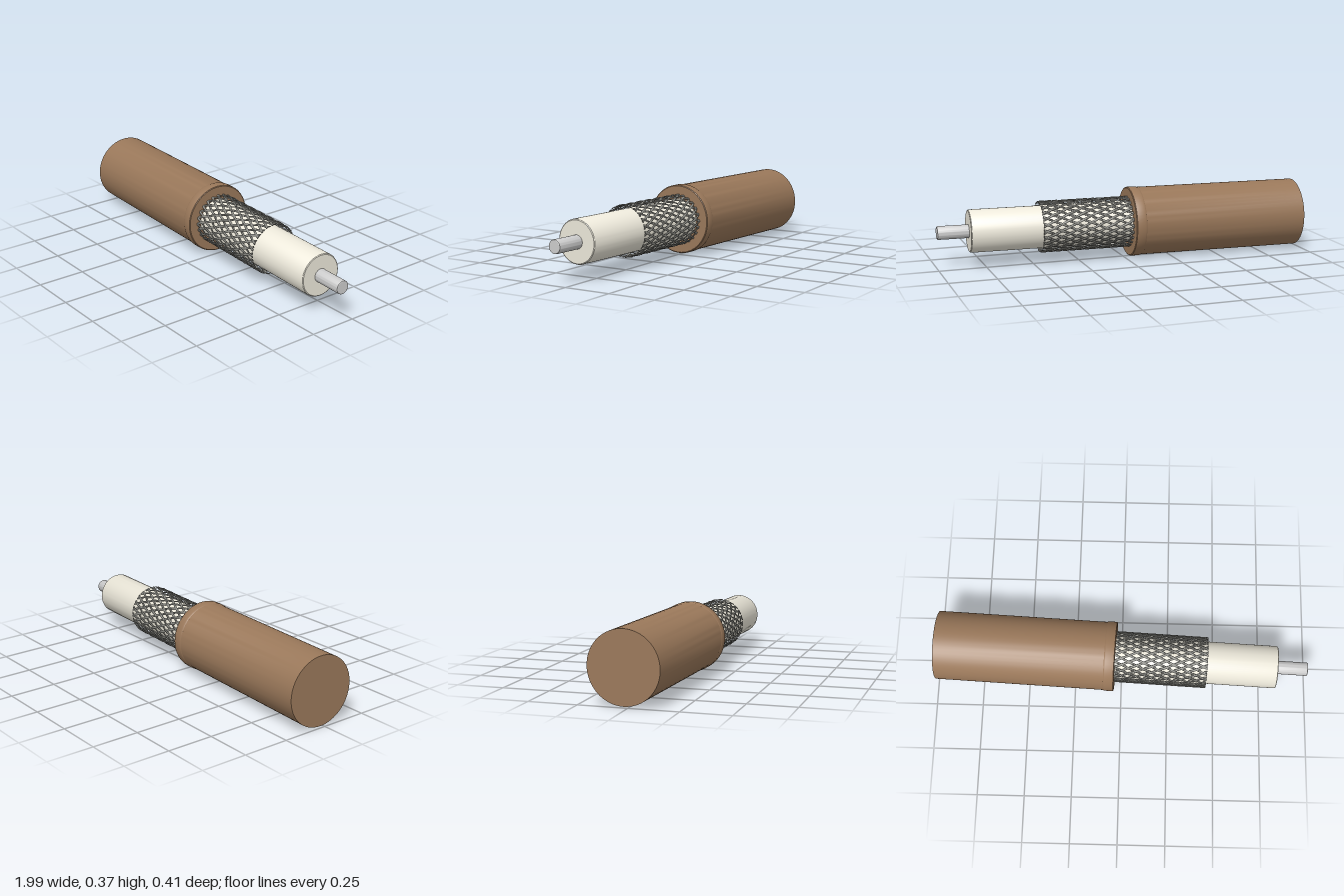
import * as THREE from 'three';
import { toCreasedNormals } from 'three/addons/utils/BufferGeometryUtils.js';

const material = (color) => new THREE.MeshStandardMaterial({ color });

// Solid of revolution from [radius, position along the cable] pairs
function turned(name, profile, mat) {
  const points = profile.map(([r, s]) => new THREE.Vector2(r, s));
  const geometry = toCreasedNormals(new THREE.LatheGeometry(points, 64), 0.5);
  const mesh = new THREE.Mesh(geometry, mat);
  mesh.name = name;
  return mesh;
}

// Flattened wire bundle winding around the cable, weaving over and under
function strandGeometry(direction, start, length, turns, count) {
  const radius = 0.133, halfWidth = 0.0075, halfThick = 0.0025, weave = 0.0025;
  const geometry = new THREE.CylinderGeometry(1, 1, 1, 6, 48);
  const pos = geometry.attributes.position;
  for (let i = 0; i < pos.count; i++) {
    const t = pos.getY(i) + 0.5;
    const wave = Math.cos(t * turns * count * Math.PI * 2) * weave * direction;
    const r = radius + wave + pos.getZ(i) * halfThick;
    const a = direction * t * turns * Math.PI * 2 + pos.getX(i) * halfWidth / radius;
    pos.setXYZ(i, r * Math.sin(a), start + t * length, r * Math.cos(a));
  }
  geometry.computeVertexNormals();
  return geometry;
}

export function createModel() {
  const model = new THREE.Group();
  model.name = 'strippedCable';

  // Everything is built along local y, then laid along x
  const cable = new THREE.Group();
  cable.name = 'cable';
  cable.rotation.z = -Math.PI / 2;
  model.add(cable);

  // Outer jacket with a slightly raised rim at the cut
  cable.add(turned('jacket', [
    [0, -0.99], [0.183, -0.99], [0.183, -0.088], [0.1845, -0.086], [0.1865, -0.08],
    [0.1865, -0.04], [0.185, -0.035], [0.181, -0.032], [0, -0.032],
  ], material(0x9a785a)));

  // Inner insulator with a softened edge
  cable.add(turned('insulator', [
    [0, -0.04], [0.113, -0.04], [0.113, 0.823], [0.111, 0.828], [0.107, 0.831], [0, 0.831],
  ], material(0xece8da)));

  // Centre conductor
  cable.add(turned('conductor', [
    [0, 0.82], [0.0355, 0.82], [0.0355, 0.99], [0.034, 0.994], [0.031, 0.996], [0, 0.996],
  ], material(0xcccccc)));

  // Braided shield: two sets of strands wound in opposite directions
  const braid = new THREE.Group();
  braid.name = 'braidedShield';
  const count = 24;
  const braidMaterial = material(0x8c8c86);
  for (const direction of [1, -1]) {
    const geometry = strandGeometry(direction, -0.036, 0.493, 0.26, count);
    for (let i = 0; i < count; i++) {
      const strand = new THREE.Mesh(geometry, braidMaterial);
      strand.name = 'braidStrand';
      strand.rotation.y = (i / count) * Math.PI * 2;
      braid.add(strand);
    }
  }
  cable.add(braid);

  // The cable lies slightly askew
  model.rotation.y = -0.046;
  model.position.set(0, 0.188, 0.0205);
  const root = new THREE.Group();
  root.name = 'model';
  root.add(model);
  return root;
}
